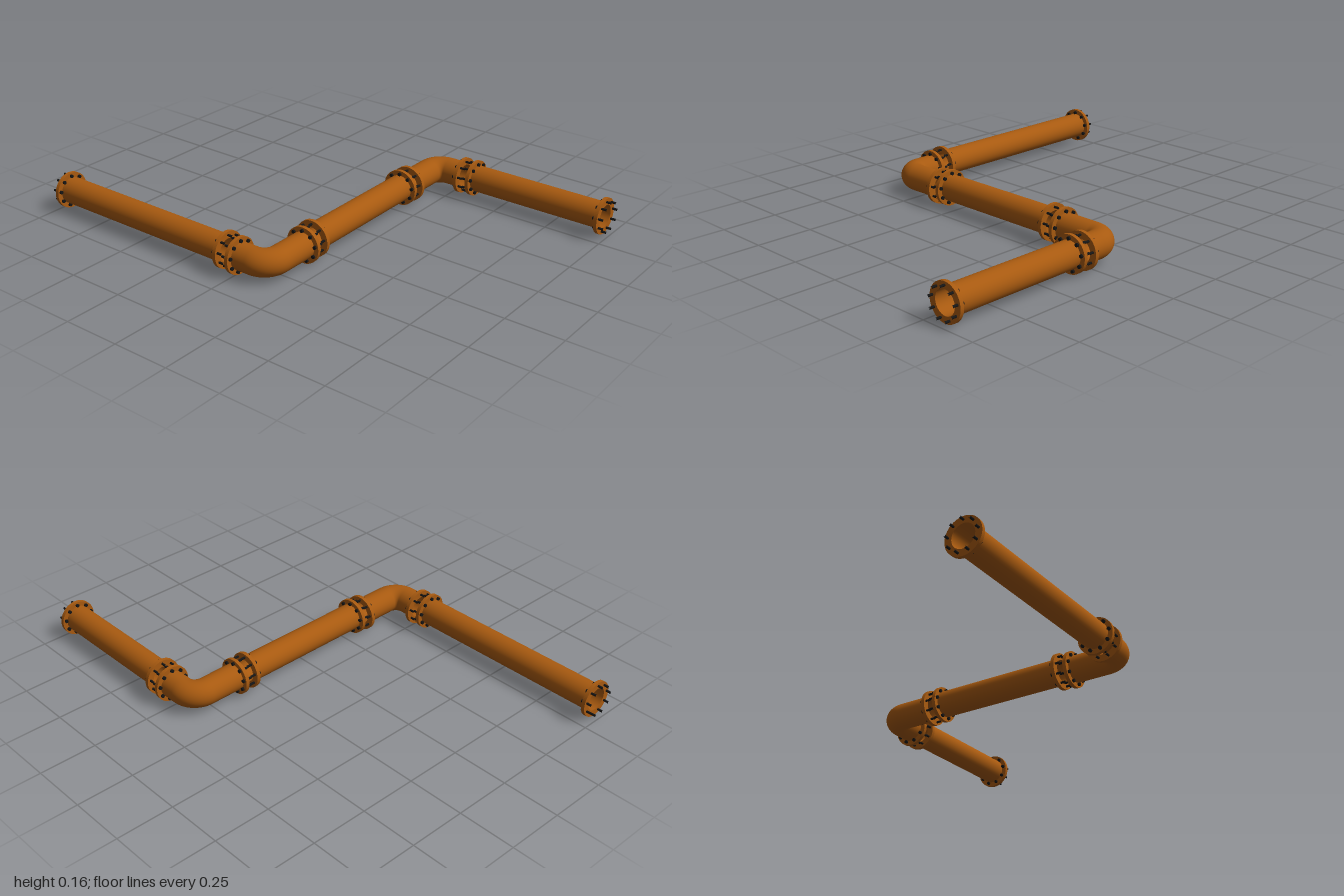
import * as THREE from 'three';

const PIPE_R = 0.058, BORE_R = 0.05, FLANGE_R = 0.079, FLANGE_T = 0.016;
const BOLT_CIRCLE = 0.065, BOLTS = 9;

const rust = new THREE.MeshStandardMaterial({ color: 0xa85a10 });
const rustInside = new THREE.MeshStandardMaterial({ color: 0xa85a10, side: THREE.BackSide });
const black = new THREE.MeshStandardMaterial({ color: 0x151515 });

function mesh(name, geometry, material, parent) {
  const m = new THREE.Mesh(geometry, material);
  m.name = name;
  parent.add(m);
  return m;
}

// Flange ring: a flat disc with the bore cut out, centred on its own thickness
const ring = new THREE.Shape().absarc(0, 0, FLANGE_R, 0, Math.PI * 2);
ring.holes.push(new THREE.Path().absarc(0, 0, BORE_R, 0, Math.PI * 2, true));
const ringGeometry = new THREE.ExtrudeGeometry(ring, { depth: FLANGE_T, bevelEnabled: false, curveSegments: 40 })
  .translate(0, 0, -FLANGE_T / 2);

// Open-ended stud pointing outward, and the bolt head behind the flange
const studGeometry = new THREE.CylinderGeometry(0.005, 0.005, 0.024, 12, 1, true)
  .rotateX(Math.PI / 2).translate(0, 0, FLANGE_T / 2 + 0.012);
const headGeometry = new THREE.CylinderGeometry(0.0075, 0.0075, 0.009, 12)
  .rotateX(Math.PI / 2).translate(0, 0, -FLANGE_T / 2 - 0.004);

// Flange with its circle of bolts, facing outward along the given direction
function addFlange(parent, position, outward) {
  const flange = new THREE.Group();
  flange.name = 'flange';
  flange.position.copy(position);
  flange.rotation.y = Math.atan2(outward.x, outward.z);
  mesh('flangeRing', ringGeometry, rust, flange);
  for (let i = 0; i < BOLTS; i++) {
    const a = Math.PI / 2 + (i / BOLTS) * Math.PI * 2;
    const bolt = new THREE.Group();
    bolt.name = 'bolt';
    bolt.position.set(Math.cos(a) * BOLT_CIRCLE, Math.sin(a) * BOLT_CIRCLE, 0);
    mesh('boltStud', studGeometry, black, bolt);
    mesh('boltHead', headGeometry, black, bolt);
    flange.add(bolt);
  }
  parent.add(flange);
}

// Hollow pipe along a curve, with a flange on each end
function addPipe(parent, name, curve, segments) {
  const pipe = new THREE.Group();
  pipe.name = name;
  mesh('outerWall', new THREE.TubeGeometry(curve, segments, PIPE_R, 40), rust, pipe);
  mesh('innerWall', new THREE.TubeGeometry(curve, segments, BORE_R, 40), rustInside, pipe);
  addFlange(pipe, curve.getPoint(0), curve.getTangent(0).negate());
  addFlange(pipe, curve.getPoint(1), curve.getTangent(1));
  parent.add(pipe);
}

// Right-angle bend from a to b around the given corner
function elbowCurve(a, corner, b, radius = 0.068) {
  const start = corner.clone().add(a.clone().sub(corner).setLength(radius));
  const end = corner.clone().add(b.clone().sub(corner).setLength(radius));
  const k = 0.5523;
  const path = new THREE.CurvePath();
  path.add(new THREE.LineCurve3(a, start));
  path.add(new THREE.CubicBezierCurve3(start, start.clone().lerp(corner, k), end.clone().lerp(corner, k), end));
  path.add(new THREE.LineCurve3(end, b));
  return path;
}

export function createModel() {
  const model = new THREE.Group();
  model.name = 'pipeline';
  const v = (x, y, z) => new THREE.Vector3(x, y, z);
  const X = 0.588, Z = 0.145, Y = 0.087;
  const Y1 = 0.081, Y2 = 0.084; // the elbows hang slightly lower

  // Straight runs
  addPipe(model, 'backPipe', new THREE.LineCurve3(v(-X, Y, -0.968), v(-X, Y, -0.061)), 1);
  addPipe(model, 'middlePipe', new THREE.LineCurve3(v(-0.306, Y, Z), v(0.304, Y, Z)), 1);
  addPipe(model, 'frontPipe', new THREE.LineCurve3(v(X, Y, 0.349), v(X, Y, 0.968)), 1);

  // Elbows
  addPipe(model, 'rightElbow', elbowCurve(v(-X, Y1, 0.002), v(-X, Y1, Z), v(-0.364, Y1, Z)), 60);
  addPipe(model, 'leftElbow', elbowCurve(v(0.363, Y2, Z), v(X, Y2, Z), v(X, Y2, 0.287)), 60);
  return model;
}
